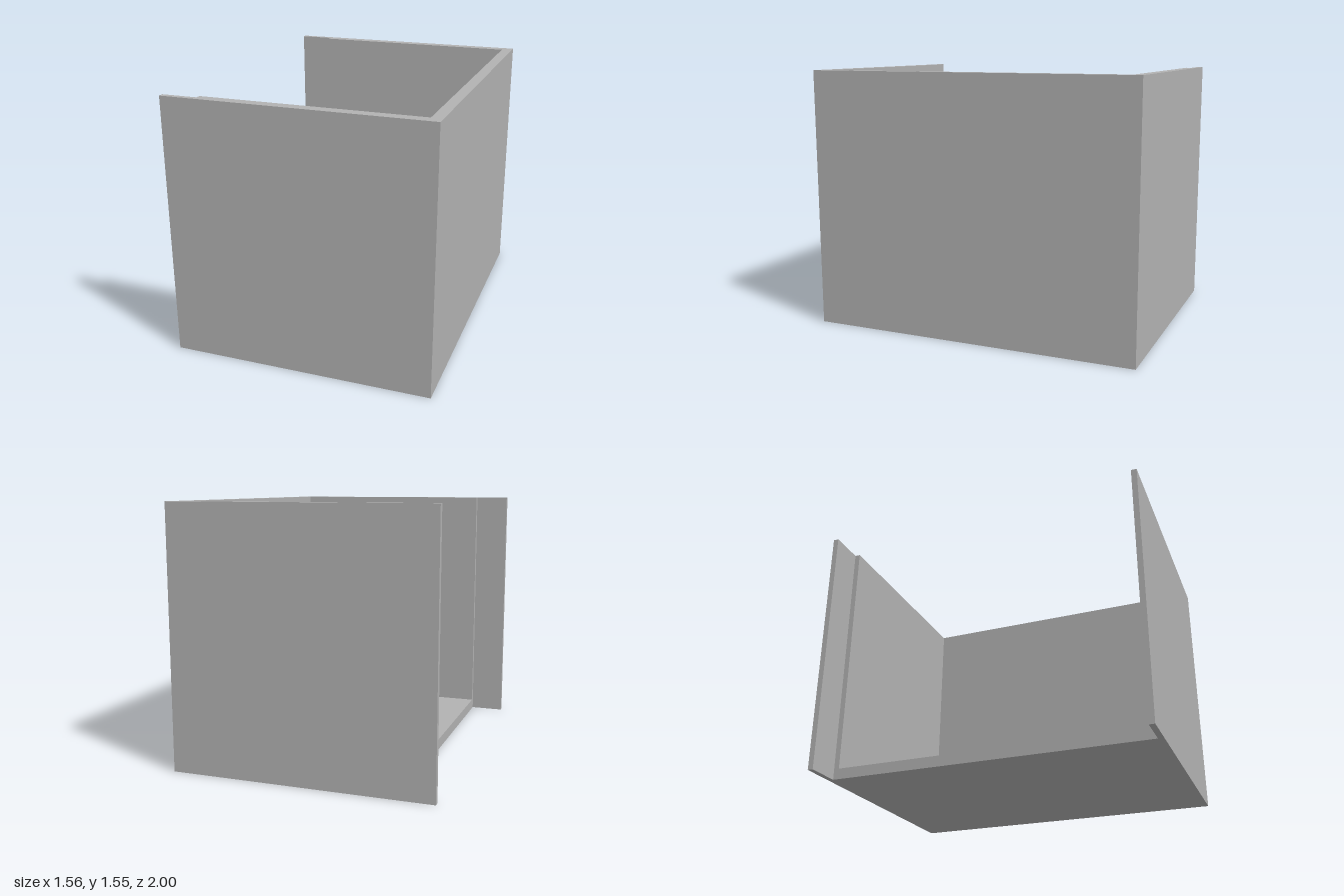
import * as THREE from 'three';

export function createModel() {
  const group = new THREE.Group();
  group.name = 'openBox';
  const grey = new THREE.MeshStandardMaterial({ color: 0xb2b2b2 });
  grey.name = 'plainGrey';

  const X = 0.78, Z = 1, H = 1.555; // outer half sizes and height
  const T = 0.065, LIP = 0.033;     // wall and lip thickness
  const step = -0.57;               // where the walls thin into lips

  // Three walls with thin lips at the open side, as one U-shaped plan
  const half = [[X, Z], [-X, Z], [-X, Z - LIP], [step, Z - LIP], [step, Z - T], [X - T, Z - T]];
  const mirrored = half.map(([x, z]) => [x, -z]).reverse();
  const plan = new THREE.Shape([...half, ...mirrored].map(([x, z]) => new THREE.Vector2(x, z)));
  const wallGeometry = new THREE.ExtrudeGeometry(plan, { depth: H, bevelEnabled: false });
  wallGeometry.rotateX(-Math.PI / 2);
  const walls = new THREE.Mesh(wallGeometry, grey);
  walls.name = 'walls';
  group.add(walls);

  // Floor between the walls, ending flush with the thick part
  const floor = new THREE.Mesh(new THREE.BoxGeometry(X - T - step, T, 2 * (Z - T)), grey);
  floor.name = 'floor';
  floor.position.set((X - T + step) / 2, T / 2, 0);
  group.add(floor);

  return group;
}
